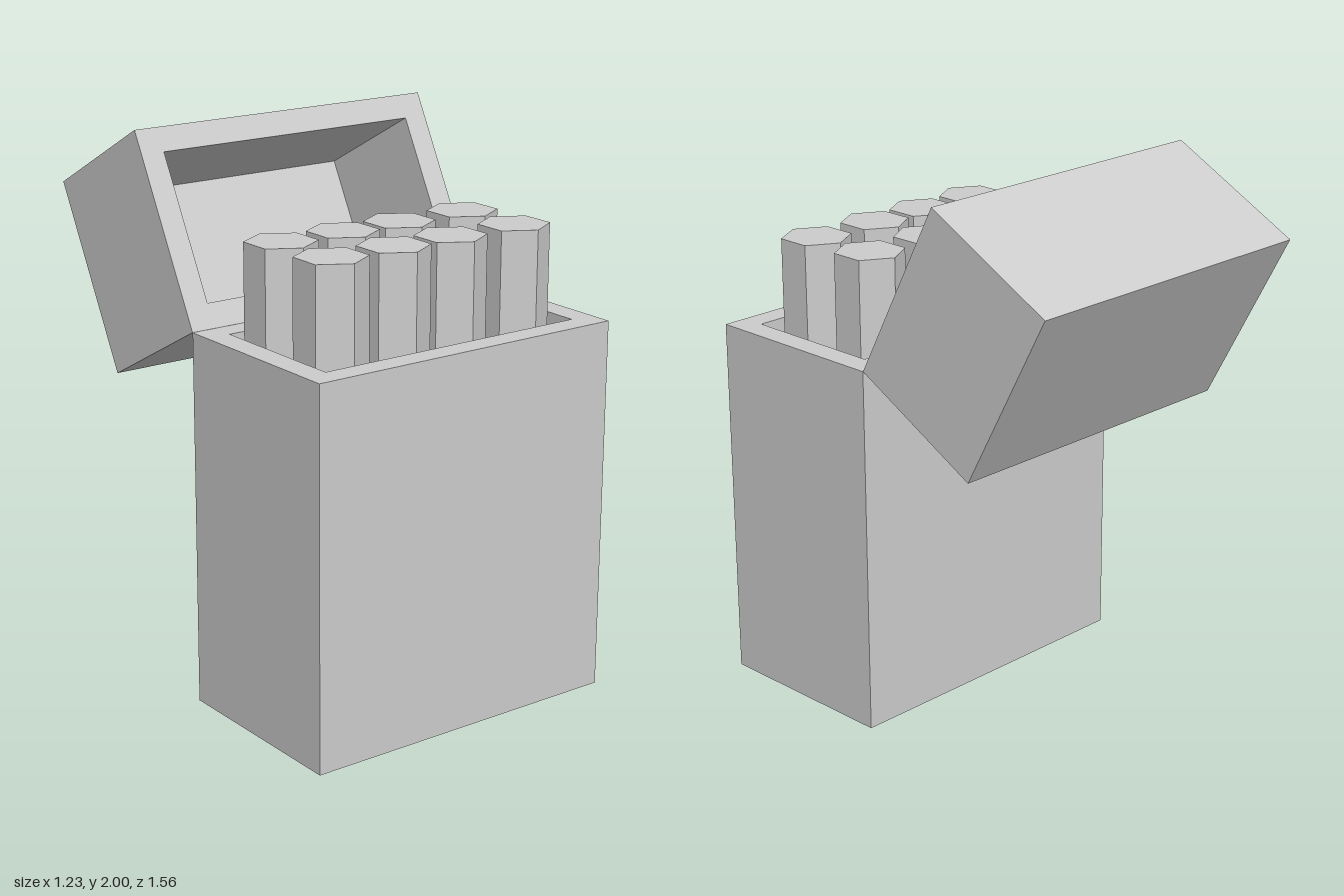
import * as THREE from 'three';

const WIDTH = 1.234, DEPTH = 0.725, WALL = 0.09;
const BODY_HEIGHT = 1.36, LID_HEIGHT = 0.565, FLOOR = 0.065;
const BODY_Z = 0.418, HINGE_Z = 0.055;

function rectangle(PathType, w, d) {
  const p = new PathType();
  p.moveTo(-w / 2, -d / 2);
  p.lineTo(w / 2, -d / 2);
  p.lineTo(w / 2, d / 2);
  p.lineTo(-w / 2, d / 2);
  p.closePath();
  return p;
}

// Open-topped box: a ring of walls standing on a floor slab
function openBox(name, height, material) {
  const box = new THREE.Group();
  box.name = name;

  const outline = rectangle(THREE.Shape, WIDTH, DEPTH);
  outline.holes.push(rectangle(THREE.Path, WIDTH - 2 * WALL, DEPTH - 2 * WALL));
  const wallGeometry = new THREE.ExtrudeGeometry(outline, { depth: height - FLOOR, bevelEnabled: false });
  wallGeometry.rotateX(-Math.PI / 2);
  const walls = new THREE.Mesh(wallGeometry, material);
  walls.name = name + 'Walls';
  walls.position.y = FLOOR;

  const floor = new THREE.Mesh(new THREE.BoxGeometry(WIDTH, FLOOR, DEPTH), material);
  floor.name = name + 'Floor';
  floor.position.y = FLOOR / 2;

  box.add(walls, floor);
  return box;
}

export function createModel() {
  const model = new THREE.Group();
  model.name = 'openPack';
  const grey = new THREE.MeshStandardMaterial({ color: 0xcccccc, flatShading: true });
  grey.name = 'lightGrey';

  // Pack body
  const body = openBox('body', BODY_HEIGHT, grey);
  body.position.z = BODY_Z;
  model.add(body);

  // Lid, swung back about the rear top edge of the body
  const hinge = new THREE.Group();
  hinge.name = 'lidHinge';
  hinge.position.set(0, BODY_HEIGHT, HINGE_Z);
  hinge.rotation.x = THREE.MathUtils.degToRad(62);
  const lid = openBox('lid', LID_HEIGHT, grey);
  lid.position.set(0, -LID_HEIGHT, -DEPTH / 2);
  hinge.add(lid);
  model.add(hinge);

  // Two rows of hexagonal sticks standing on the body floor
  const stickTop = 1.69;
  const stickGeometry = new THREE.CylinderGeometry(0.126, 0.126, stickTop - FLOOR, 6);
  const rows = [
    { name: 'backStick', z: 0.271, shift: 0 },
    { name: 'frontStick', z: 0.537, shift: 0.01 },
  ];
  for (const row of rows) {
    [-0.401, -0.145, 0.097, 0.377].forEach((x, i) => {
      const stick = new THREE.Mesh(stickGeometry, grey);
      stick.name = row.name + (i + 1);
      stick.position.set(x + row.shift, (stickTop + FLOOR) / 2, row.z);
      model.add(stick);
    });
  }
  return model;
}
